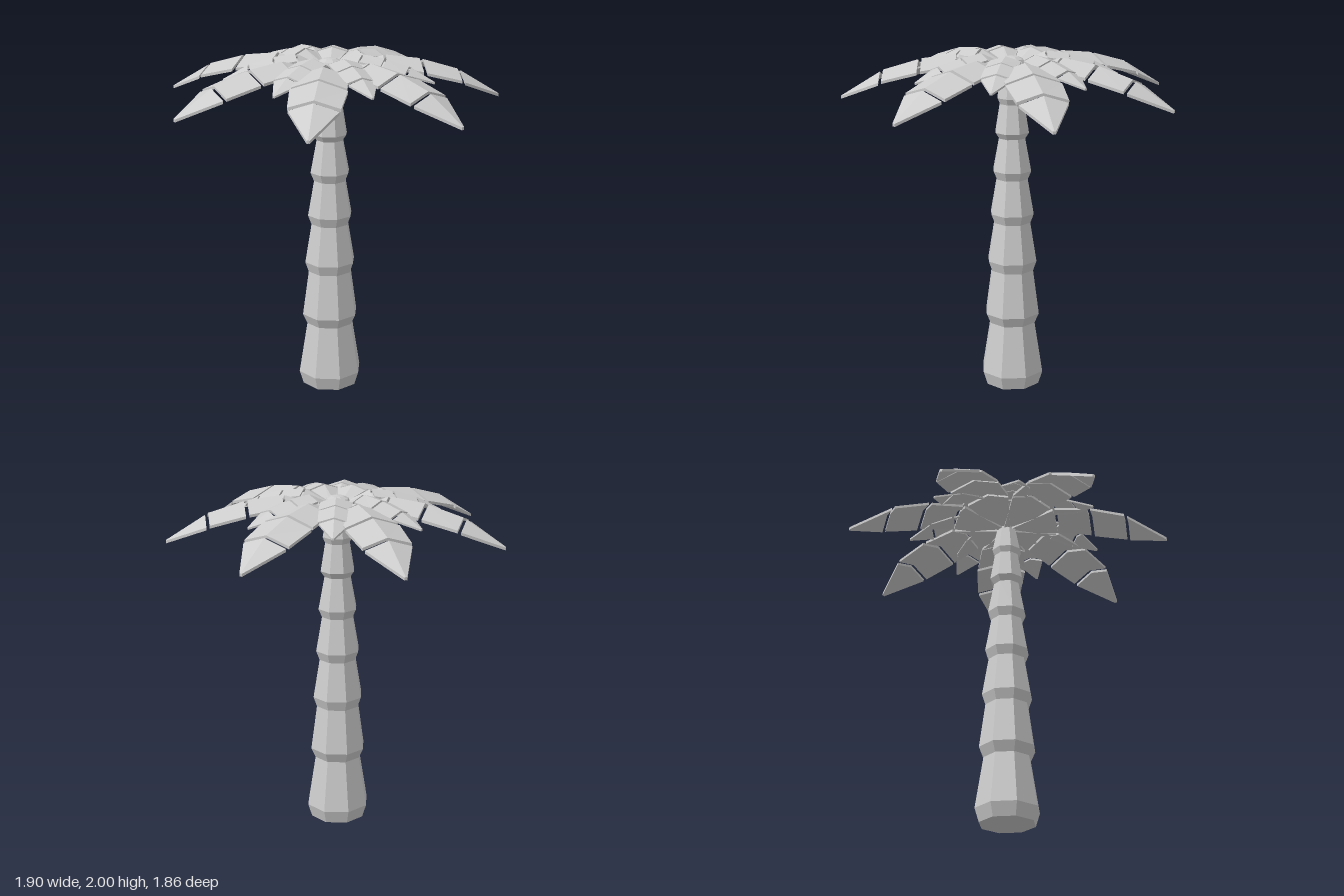
import * as THREE from 'three';

const grey = new THREE.MeshStandardMaterial({ color: 0xcccccc, flatShading: true });
grey.name = 'plain grey';

// Roof-shaped leaf plate between two cross-sections; section = [radius, ridge height, half width, edge drop]
function leafSegment(near, far, thickness) {
  const loop = ([r, y, w, drop]) => [
    [-w, y - drop, -r], [0, y, -r], [w, y - drop, -r],
    [w, y - drop - thickness, -r], [0, y - thickness, -r], [-w, y - drop - thickness, -r],
  ];
  const a = loop(near), b = loop(far), pos = [];
  const quad = (p, q, r, s) => pos.push(...p, ...q, ...r, ...p, ...r, ...s);
  for (let i = 0; i < 6; i++) {
    const j = (i + 1) % 6;
    quad(a[i], a[j], b[j], b[i]);
  }
  for (const [i, j, k, l] of [[0, 1, 4, 5], [1, 2, 3, 4]]) {
    quad(a[l], a[k], a[j], a[i]);
    quad(b[i], b[j], b[k], b[l]);
  }
  const geometry = new THREE.BufferGeometry();
  geometry.setAttribute('position', new THREE.Float32BufferAttribute(pos, 3));
  geometry.computeVertexNormals();
  return geometry;
}

// Ring of seven fronds, each made of four separate plates
function frondRing(name, segments, thickness, startDegrees) {
  const ring = new THREE.Group();
  ring.name = name + 's';
  const plates = segments.map(([near, far]) => leafSegment(near, far, thickness));
  for (let i = 0; i < 7; i++) {
    const frond = new THREE.Group();
    frond.name = name;
    frond.rotation.y = -THREE.MathUtils.degToRad(startDegrees + (i * 360) / 7);
    for (const plate of plates) {
      const mesh = new THREE.Mesh(plate, grey);
      mesh.name = 'leafPlate';
      frond.add(mesh);
    }
    ring.add(frond);
  }
  return ring;
}

export function createModel() {
  const palm = new THREE.Group();
  palm.name = 'palmTree';
  const tree = new THREE.Group();
  tree.name = 'tree';
  tree.position.set(-0.01, 0, 0.045);
  palm.add(tree);

  // Eight-sided trunk with stacked flaring rings
  const profile = [
    [0, 0], [0.165, 0], [0.19, 0.08], [0.14, 0.385], [0.167, 0.445], [0.13, 0.71], [0.151, 0.77],
    [0.112, 1.0], [0.133, 1.055], [0.096, 1.26], [0.117, 1.31], [0.08, 1.5], [0.103, 1.535],
    [0.075, 1.7], [0.09, 1.735], [0.06, 1.88], [0.05, 1.93], [0, 1.93],
  ].map(([r, y]) => new THREE.Vector2(r, y));
  const trunk = new THREE.Mesh(new THREE.LatheGeometry(profile, 8), grey);
  trunk.name = 'trunk';
  tree.add(trunk);

  // Long lower fronds
  tree.add(frondRing('longFrond', [
    [[0.04, 1.9, 0.04, 0.01], [0.3, 1.98, 0.13, 0.045]],
    [[0.315, 1.982, 0.135, 0.045], [0.51, 1.958, 0.15, 0.05]],
    [[0.53, 1.952, 0.155, 0.05], [0.73, 1.893, 0.14, 0.042]],
    [[0.748, 1.882, 0.133, 0.042], [0.972, 1.745, 0.008, 0.002]],
  ], 0.016, -0.8));

  // Short upper fronds
  tree.add(frondRing('shortFrond', [
    [[0.05, 1.93, 0.027, 0.005], [0.185, 1.997, 0.083, 0.026]],
    [[0.197, 2.0, 0.086, 0.026], [0.316, 1.985, 0.093, 0.03]],
    [[0.328, 1.982, 0.096, 0.03], [0.455, 1.947, 0.087, 0.026]],
    [[0.467, 1.941, 0.082, 0.026], [0.602, 1.87, 0.006, 0.002]],
  ], 0.011, 22.3));

  // Flattened bud in the middle of the crown
  const bud = new THREE.Mesh(new THREE.SphereGeometry(0.075, 8, 6), grey);
  bud.name = 'crownBud';
  bud.scale.y = 0.5;
  bud.position.y = 1.935;
  tree.add(bud);

  return palm;
}
